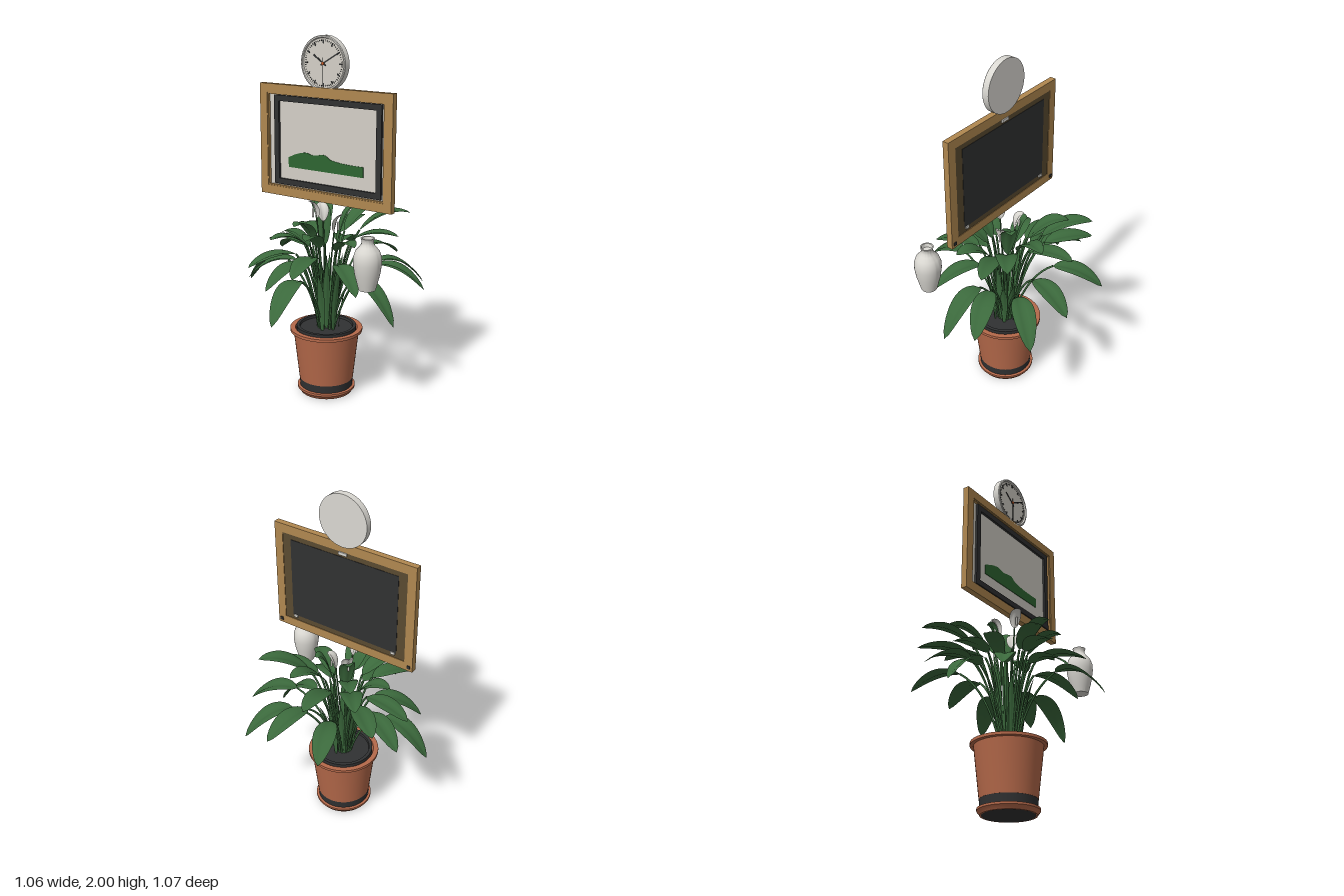
import * as THREE from 'three';
import { toCreasedNormals } from 'three/addons/utils/BufferGeometryUtils.js';

const mat = (name, color, side = THREE.FrontSide) => {
  const m = new THREE.MeshStandardMaterial({ color, side });
  m.name = name;
  return m;
};
const V = (x, y, z) => new THREE.Vector3(x, y, z);

export function createModel() {
  const leafGreen = mat('leafGreen', 0x3b693c, THREE.DoubleSide);
  const hillGreen = mat('hillGreen', 0x2e6632);
  const clay = mat('clay', 0xb5694a);
  const wood = mat('wood', 0xb08850);
  const white = mat('white', 0xdad8d2, THREE.DoubleSide);
  const paper = mat('paper', 0xd4d0c7);
  const charcoal = mat('charcoal', 0x303132);
  const backBrown = mat('backBrown', 0x5a4a30);
  const orange = mat('orange', 0xd0602a);

  const model = new THREE.Group();
  const group = (name, x = 0, y = 0, z = 0) => {
    const g = new THREE.Group();
    g.name = name;
    g.position.set(x, y, z);
    model.add(g);
    return g;
  };
  const add = (parent, name, geo, material, x = 0, y = 0, z = 0) => {
    const m = new THREE.Mesh(geo, material);
    m.name = name;
    m.position.set(x, y, z);
    parent.add(m);
    return m;
  };
  const lathe = (pts, seg = 48) => toCreasedNormals(
    new THREE.LatheGeometry(pts.map(p => new THREE.Vector2(...p)), seg), 0.6);
  // Rectangular ring with a rectangular opening
  const border = (w, h, t, depth) => {
    const rect = (a, b) => [[-a, -b], [a, -b], [a, b], [-a, b]].map(p => new THREE.Vector2(...p));
    const s = new THREE.Shape(rect(w / 2, h / 2));
    s.holes.push(new THREE.Path(rect(w / 2 - t, h / 2 - t)));
    return new THREE.ExtrudeGeometry(s, { depth, bevelEnabled: false });
  };

  // ---- Flower pot
  const pot = group('flowerPot', 0.015, 0, -0.02);
  add(pot, 'saucer', lathe([[0, 0.002], [0.148, 0], [0.155, 0.012], [0.164, 0.022],
    [0.164, 0.034], [0.15, 0.036]]), clay);
  add(pot, 'saucerBase', new THREE.CylinderGeometry(0.14, 0.14, 0.004, 48), charcoal, 0, 0.002);
  add(pot, 'footBand', new THREE.CylinderGeometry(0.152, 0.149, 0.05, 48), charcoal, 0, 0.057);
  add(pot, 'potWall', lathe([[0.14, 0.08], [0.153, 0.08], [0.185, 0.362], [0.204, 0.364],
    [0.204, 0.38], [0.175, 0.38], [0.165, 0.34]]), clay);
  add(pot, 'liner', lathe([[0.168, 0.34], [0.168, 0.393], [0.15, 0.393], [0.146, 0.375]]), charcoal);
  add(pot, 'soil', new THREE.CylinderGeometry(0.15, 0.15, 0.02, 48), charcoal, 0, 0.37);

  // ---- Plant: a blade is a plane bent along a curve
  const plant = group('plant', 0.015, 0, -0.02);
  const blade = (curve, width, fold, shape) => {
    const g = new THREE.PlaneGeometry(1, 1, 6, 14);
    const pos = g.attributes.position;
    const a = curve.getPoint(0), b = curve.getPoint(1);
    const side = V(b.z - a.z, 0, a.x - b.x).normalize();
    for (let i = 0; i < pos.count; i++) {
      const t = pos.getY(i) + 0.5, u = pos.getX(i) * 2;
      const up = V().crossVectors(curve.getTangent(t), side).normalize();
      if (up.y < 0) up.negate();
      const half = width / 2 * shape(t);
      const p = curve.getPoint(t).addScaledVector(side, u * half)
        .addScaledVector(up, (Math.abs(u) - u * u * 0.7) * half * fold);
      pos.setXYZ(i, p.x, p.y, p.z);
    }
    g.computeVertexNormals();
    return g;
  };
  const oval = t => Math.pow(Math.max(0, Math.sin(Math.PI * Math.pow(t, 0.9))), 0.62);
  const lance = t => 0.3 + 0.7 * Math.sin(Math.PI * t) - 0.3 * t;
  // Point at a heading (degrees from +x towards +z), distance and height
  const polar = (deg, r, y) => {
    const a = deg * Math.PI / 180;
    return V(Math.cos(a) * r, y, Math.sin(a) * r);
  };

  // Leaves: heading, reach and height of the tip; the rest follows from these
  const leaves = [
    [-111, 0.555, 0.72], [-75, 0.534, 0.72], [-51, 0.572, 0.6], [-39, 0.462, 1.04],
    [-21, 0.55, 0.65], [-20, 0.405, 0.94], [-132, 0.478, 1.02], [-142, 0.506, 0.86],
    [-158, 0.516, 0.72], [-175, 0.447, 0.81], [178, 0.545, 0.56], [149, 0.444, 0.65],
    [118, 0.463, 0.79], [101, 0.433, 0.69], [84, 0.553, 0.56], [77, 0.44, 0.79],
    [32, 0.418, 0.69], [6, 0.483, 0.5], [-95, 0.422, 0.94], [-71, 0.349, 1.04],
    [-131, 0.344, 1.04], [117, 0.338, 0.93], [93, 0.27, 1.02], [75, 0.3, 0.96],
    [24, 0.3, 0.92], [170, 0.28, 0.9], [-49, 0.16, 1.06], [-140, 0.124, 1.05],
  ];
  for (const [deg, reach, tipY] of leaves) {
    const r = Math.max(0.35 * reach, reach - 0.28);
    const y = 0.7 + 0.45 * (tipY - 0.5) - 0.4 * Math.max(0, 0.4 - reach);
    const base = polar(deg, r, y);
    const stalk = new THREE.QuadraticBezierCurve3(polar(deg, 0.045, 0.375),
      polar(deg, 0.03 + r * 0.35, 0.375 + (y - 0.375) * 0.78), base);
    add(plant, 'leafStalk', new THREE.TubeGeometry(stalk, 12, 0.006, 6), leafGreen);
    const midrib = new THREE.QuadraticBezierCurve3(base,
      polar(deg, (r + reach) / 2, Math.max(y, tipY) + 0.045), polar(deg, reach, tipY));
    add(plant, 'leaf', blade(midrib, 0.08 + 0.075 * reach, 0.5, oval), leafGreen);
  }
  // Upright sheaths round the crown of the plant
  for (let i = 0; i < 14; i++) {
    const deg = i * 137.5, r = 0.03 + 0.02 * (i % 3);
    const curve = new THREE.QuadraticBezierCurve3(polar(deg, r, 0.375),
      polar(deg, r + 0.015, 0.58), polar(deg, r + 0.07, 0.68 + 0.05 * (i % 5)));
    add(plant, 'sheath', blade(curve, 0.05, 0.6, lance), leafGreen);
  }

  // ---- Flowers: hooded white petal with a spike; heading, distance, foot height
  for (const [deg, r, y] of [[114, 0.06, 1.02], [-146, 0.054, 0.98], [-13, 0.046, 0.94]]) {
    const foot = polar(deg, r, y);
    const stem = new THREE.QuadraticBezierCurve3(V(0, 0.375, 0), polar(deg, r * 0.5, 0.75), foot);
    add(plant, 'flowerStem', new THREE.TubeGeometry(stem, 10, 0.004, 6), leafGreen);
    const hood = new THREE.QuadraticBezierCurve3(foot, polar(deg, r + 0.01, y + 0.09),
      polar(deg, r + 0.05, y + 0.1));
    add(plant, 'flowerPetal', blade(hood, 0.07, 0.9, oval), white);
    const spike = polar(deg, r + 0.024, y + 0.035);
    add(plant, 'flowerSpike', new THREE.CapsuleGeometry(0.006, 0.04, 4, 8), white, ...spike.toArray());
  }

  // ---- Vase
  const vase = group('vase', 0.427, 0.743, 0.185);
  add(vase, 'vaseBody', lathe([[0, 0.004], [0.044, 0], [0.052, 0.03], [0.066, 0.085], [0.074, 0.14],
    [0.073, 0.175], [0.062, 0.208], [0.042, 0.23], [0.032, 0.245], [0.031, 0.262], [0.037, 0.275],
    [0.029, 0.275], [0.025, 0.255], [0, 0.25]]), white);

  // ---- Framed picture
  const picture = group('picture', 0.017, 1.418, 0);
  add(picture, 'woodFrame', border(0.874, 0.62, 0.05, 0.034), wood, 0, 0, -0.02);
  add(picture, 'woodLip', border(0.788, 0.534, 0.014, 0.026), wood, 0, 0, -0.016);
  add(picture, 'mat', new THREE.BoxGeometry(0.776, 0.52, 0.006), paper, 0, 0, -0.008);
  add(picture, 'innerFrame', border(0.708, 0.496, 0.032, 0.014), charcoal, 0.012, 0.002, -0.006);
  add(picture, 'backBoard', new THREE.BoxGeometry(0.776, 0.522, 0.004), backBrown, 0, 0, -0.015);
  add(picture, 'backPanel', new THREE.BoxGeometry(0.67, 0.46, 0.002), charcoal, 0, 0, -0.018);
  const hills = new THREE.Shape();
  hills.moveTo(-0.25, -0.145);
  hills.lineTo(0.25, -0.145);
  hills.lineTo(0.25, -0.088);
  hills.splineThru([[0.13, -0.086], [0.04, -0.075], [-0.005, -0.053], [-0.08, -0.062],
    [-0.13, -0.053], [-0.19, -0.065], [-0.25, -0.09]].map(p => new THREE.Vector2(...p)));
  add(picture, 'paintedHills', new THREE.ExtrudeGeometry(hills,
    { depth: 0.003, bevelEnabled: false, curveSegments: 24 }), hillGreen, 0, 0, -0.005);
  for (const s of [-1, 1]) {
    add(picture, 'backClip', new THREE.BoxGeometry(0.025, 0.015, 0.008), white, s * 0.315, -0.235, -0.02);
    add(picture, 'bumper', new THREE.BoxGeometry(0.018, 0.018, 0.006), charcoal, s * 0.415, -0.285, -0.022);
  }
  add(picture, 'hanger', new THREE.BoxGeometry(0.05, 0.016, 0.008), white, 0, 0.25, -0.02);

  // ---- Wall clock
  const clock = group('clock', 0.013, 1.855, 0);
  const turn = geo => geo.rotateX(Math.PI / 2);
  add(clock, 'clockCase', turn(lathe([[0, -0.026], [0.145, -0.026], [0.145, 0.01], [0.141, 0.014],
    [0.134, 0.014], [0.13, 0.004]], 64)), white);
  add(clock, 'dial', turn(new THREE.CylinderGeometry(0.131, 0.131, 0.004, 64)), paper, 0, 0, 0.003);
  const ray = (name, deg, from, to, w, z) => {
    const bar = new THREE.BoxGeometry(w, to - from, 0.002).translate(0, (from + to) / 2, 0);
    add(clock, name, bar, charcoal, 0, 0, z).rotation.z = -deg * Math.PI / 180;
  };
  for (let i = 0; i < 60; i++) {
    const hour = i % 5 === 0;
    ray('tick', i * 6, hour ? 0.103 : 0.114, 0.122, hour ? 0.008 : 0.003, 0.006);
  }
  ray('hourHand', -57, -0.02, 0.076, 0.009, 0.007);
  ray('minuteHand', 60, -0.02, 0.112, 0.007, 0.009);
  ray('secondHand', 180, -0.03, 0.118, 0.003, 0.011);
  add(clock, 'handPin', turn(new THREE.CylinderGeometry(0.008, 0.008, 0.004, 20)), orange, 0, 0, 0.012);

  return model;
}
